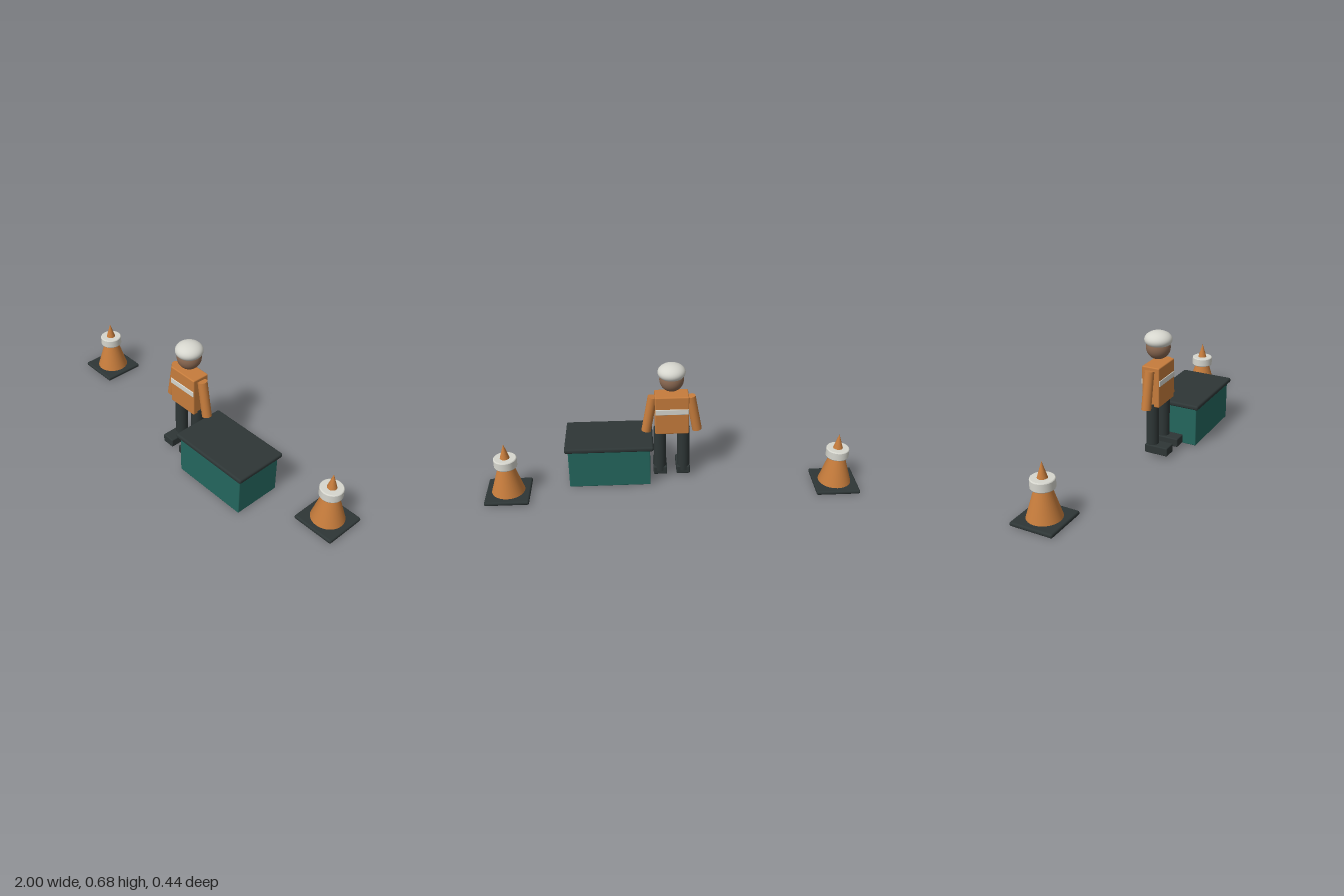
import * as THREE from 'three';
import { RoundedBoxGeometry } from 'three/addons/geometries/RoundedBoxGeometry.js';

const material = (name, color) => {
  const m = new THREE.MeshStandardMaterial({ color });
  m.name = name;
  return m;
};

export function createModel() {
  const orange = material('safety orange', 0xc67c3c);
  const white = material('off white', 0xd6d6ce);
  const dark = material('charcoal', 0x2e3636);
  const teal = material('teal', 0x24665d);
  const skin = material('skin', 0x8a6851);

  const model = new THREE.Group();
  model.name = 'roadCrewScene';

  const add = (parent, name, geometry, mat, x, y, z) => {
    const mesh = new THREE.Mesh(geometry, mat);
    mesh.name = name;
    mesh.position.set(x, y, z);
    parent.add(mesh);
    return mesh;
  };
  const group = (name, x, z) => {
    const g = new THREE.Group();
    g.name = name;
    g.position.set(x, 0, z);
    model.add(g);
    return g;
  };
  const box = (w, h, d, r) => new RoundedBoxGeometry(w, h, d, 3, r);

  // Solid collar with softened rims; doubled corner points keep the faces flat
  const collarProfile = [
    [0, -0.0255], [0.056, -0.0255], [0.056, -0.0255], [0.0595, -0.024], [0.061, -0.0205],
    [0.061, -0.0205], [0.061, 0.0205], [0.061, 0.0205], [0.0595, 0.024],
    [0.056, 0.0255], [0.056, 0.0255], [0, 0.0255],
  ].map(([r, y]) => new THREE.Vector2(r, y));

  // Traffic cones
  for (const side of [-1, 1]) {
    const cone = group(side > 0 ? 'leftCone' : 'rightCone', side * 0.8825, -0.101);
    add(cone, 'coneBase', box(0.235, 0.022, 0.235, 0.0095), dark, 0, 0.0125, 0);
    add(cone, 'coneBody', new THREE.ConeGeometry(0.088, 0.287, 40), orange, 0, 0.1675, 0);
    add(cone, 'coneCollar', new THREE.LatheGeometry(collarProfile, 40), white, 0, 0.2025, 0);
  }

  // Storage chest
  const chest = group('chest', 0.339, 0.068);
  add(chest, 'chestBody', box(0.438, 0.222, 0.27, 0.005), teal, 0, 0.116, 0);
  add(chest, 'chestLid', box(0.474, 0.026, 0.302, 0.01), dark, 0, 0.237, 0);

  // Standing figure
  const figure = group('figure', 0, 0.034);
  add(figure, 'torso', box(0.18, 0.22, 0.1, 0.006), orange, 0, 0.4, 0);
  add(figure, 'reflectiveBand', box(0.176, 0.032, 0.107, 0.003), white, 0, 0.424, 0);
  add(figure, 'head', new THREE.SphereGeometry(0.0645, 40, 28), skin, 0, 0.594, 0);
  const helmet = add(figure, 'helmet', new THREE.SphereGeometry(1, 40, 28), white, 0, 0.636, 0);
  helmet.scale.set(0.0735, 0.0455, 0.0735);

  // Limbs, mirrored
  for (const side of [-1, 1]) {
    const label = side > 0 ? 'left' : 'right';
    const arm = add(figure, label + 'Arm', new THREE.CylinderGeometry(0.026, 0.026, 0.206, 28), orange, side * 0.119, 0.392, 0);
    arm.rotation.z = side * 0.18;
    add(figure, label + 'Leg', new THREE.CylinderGeometry(0.034, 0.034, 0.26, 28), dark, side * 0.064, 0.175, 0);
    add(figure, label + 'Boot', box(0.074, 0.048, 0.132, 0.006), dark, side * 0.063, 0.046, 0.037);
  }
  return model;
}
